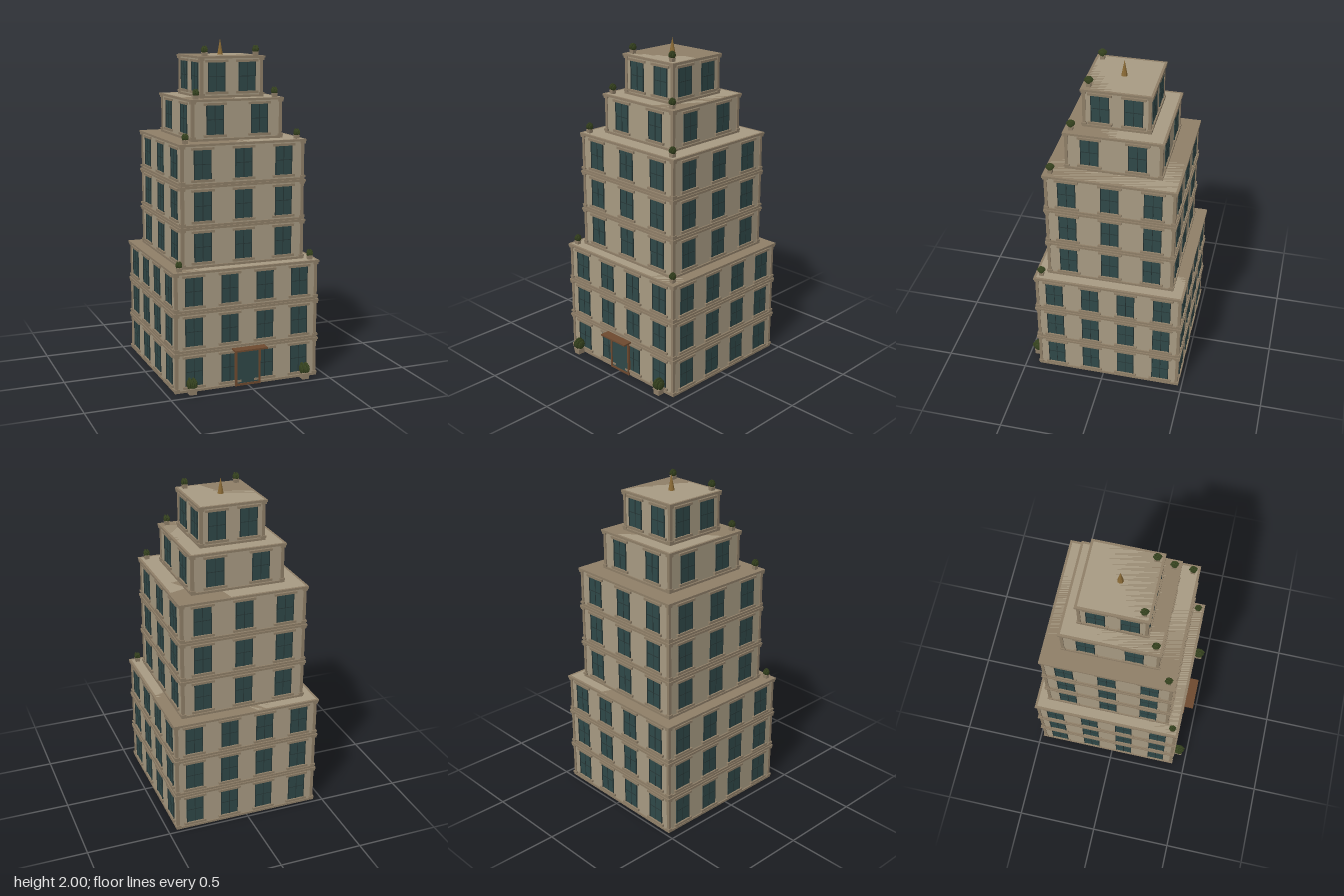
import * as THREE from 'three';

const mat = (color, extra = {}) => {
  const m = new THREE.MeshStandardMaterial(extra);
  m.color.set(color);
  return m;
};
const WALL = mat(0xa89b83), TRIM = mat(0x8f7f68), GLASS = mat(0x2f4848), FRAME = mat(0x263636);
const WOOD = mat(0x6e4a2f), LEAF = mat(0x36431f), BRONZE = mat(0x8a6a35);
LEAF.flatShading = BRONZE.flatShading = true;

const FLOOR = 0.238, CENTRE_Z = -0.03;
const unitBox = new THREE.BoxGeometry(1, 1, 1);
const leafGeo = new THREE.SphereGeometry(1, 8, 6);

// Box given by its centre x, its bottom y, its centre z and its size
function box(parent, name, material, [x, y, z], [w, h, d]) {
  const m = new THREE.Mesh(unitBox, material);
  m.name = name;
  m.scale.set(w, h, d);
  m.position.set(x, y + h / 2, z);
  parent.add(m);
  return m;
}

// Window facing +z, with its foot on the floor line and the wall at z = 0
function makeWindow() {
  const g = new THREE.Group();
  g.name = 'window';
  const w = 0.105, y0 = 0.035, h = 0.168;
  box(g, 'glass', GLASS, [0, y0, 0], [w, h, 0.006]);
  for (const s of [-1, 1]) {
    box(g, 'frameSide', FRAME, [s * (w / 2 - 0.002), y0, 0.002], [0.004, h, 0.01]);
  }
  box(g, 'mullion', FRAME, [0, y0, 0.001], [0.004, h, 0.008]);
  box(g, 'transom', FRAME, [0, y0 + h * 0.5, 0.001], [w, 0.004, 0.008]);
  box(g, 'lintel', TRIM, [0, y0 + h, 0.003], [0.138, 0.014, 0.016]);
  box(g, 'sill', TRIM, [0, y0 - 0.014, 0.004], [0.138, 0.014, 0.018]);
  return g;
}

// One storey: wall block, bands, corner pilasters and windows on all four sides
function makeStorey(half, count) {
  const g = new THREE.Group();
  g.name = 'storey';
  const band = (name, y, h, out) =>
    box(g, name, TRIM, [0, y, 0], [2 * (half + out), h, 2 * (half + out)]);
  box(g, 'wall', WALL, [0, 0, 0], [2 * half, FLOOR, 2 * half]);
  band('baseBand', 0, 0.013, 0.008);
  band('cornice', FLOOR - 0.013, 0.013, 0.014);
  for (const sx of [-1, 1]) for (const sz of [-1, 1]) {
    const c = half - 0.004;
    box(g, 'cornerPilaster', TRIM, [sx * c, 0, sz * c], [0.018, FLOOR - 0.005, 0.018]);
    box(g, 'pilasterBase', TRIM, [sx * c, 0.013, sz * c], [0.03, 0.012, 0.03]);
    box(g, 'pilasterCapital', TRIM, [sx * c, FLOOR - 0.026, sz * c], [0.03, 0.013, 0.03]);
  }
  const step = 2 * half / count;
  for (let side = 0; side < 4; side++) {
    const face = new THREE.Group();
    face.name = 'windowRow';
    face.rotation.y = side * Math.PI / 2;
    for (let i = 0; i < count; i++) {
      const win = makeWindow();
      win.position.set((i + 0.5) * step - half, 0, half);
      face.add(win);
    }
    g.add(face);
  }
  return g;
}

// Square pot with a clump of thin upright leaves lying side by side in x
function makePlanter(x, y, z, s) {
  const g = new THREE.Group();
  g.name = 'planter';
  box(g, 'pot', TRIM, [0, 0, 0], [0.026, 0.02, 0.026]);
  box(g, 'potRim', TRIM, [0, 0.018, 0], [0.03, 0.004, 0.03]);
  for (let i = -2; i <= 2; i++) {
    const leaf = new THREE.Mesh(leafGeo, LEAF);
    leaf.name = 'leaf';
    const tall = Math.abs(i) === 1 ? 0.02 : 0.016;
    leaf.scale.set(0.0045, tall, Math.abs(i) === 2 ? 0.017 : 0.023);
    leaf.position.set(i * 0.0065, 0.02 + tall, i % 2 * 0.002);
    g.add(leaf);
  }
  g.scale.setScalar(s);
  g.position.set(x, y, z);
  return g;
}

export function createModel() {
  const model = new THREE.Group();
  model.name = 'steppedTower';

  // Stepped tiers: wall half-width, storeys, windows per side
  const tiers = [[0.44, 3, 4], [0.375, 3, 3], [0.275, 1, 2], [0.19, 1, 2]];
  let y = 0;
  for (const [half, storeys, count] of tiers) {
    const tier = new THREE.Group();
    tier.name = 'tier';
    for (let i = 0; i < storeys; i++, y += FLOOR) {
      const storey = makeStorey(half, count);
      storey.position.set(0, y, CENTRE_Z);
      tier.add(storey);
    }
    // Planters on the front corners of each roof
    for (const s of [-1, 1]) {
      tier.add(makePlanter(s * (half - 0.031), y, CENTRE_Z + half - 0.026, 1));
    }
    model.add(tier);
  }

  // Roof spire
  const spire = new THREE.Mesh(new THREE.ConeGeometry(0.018, 2 - y, 8), BRONZE);
  spire.name = 'spire';
  spire.position.set(0, (y + 2) / 2, CENTRE_Z);
  model.add(spire);

  // Entrance
  const entrance = new THREE.Group();
  entrance.name = 'entrance';
  const front = CENTRE_Z + 0.44;
  box(entrance, 'door', GLASS, [0, 0.014, front + 0.003], [0.14, 0.206, 0.018]);
  box(entrance, 'threshold', WOOD, [0, 0, front + 0.005], [0.14, 0.014, 0.022]);
  for (const s of [-1, 1]) {
    box(entrance, 'doorPost', WOOD, [s * 0.074, 0, front + 0.005], [0.012, 0.225, 0.024]);
  }
  box(entrance, 'doorHead', WOOD, [0, 0.216, front + 0.005], [0.16, 0.01, 0.024]);
  box(entrance, 'canopy', WOOD, [0, 0.226, front + 0.035], [0.204, 0.01, 0.074]);
  model.add(entrance);

  // Larger planters beside the entrance
  for (const s of [-1, 1]) model.add(makePlanter(s * 0.356, 0, 0.446, 1.65));
  return model;
}
